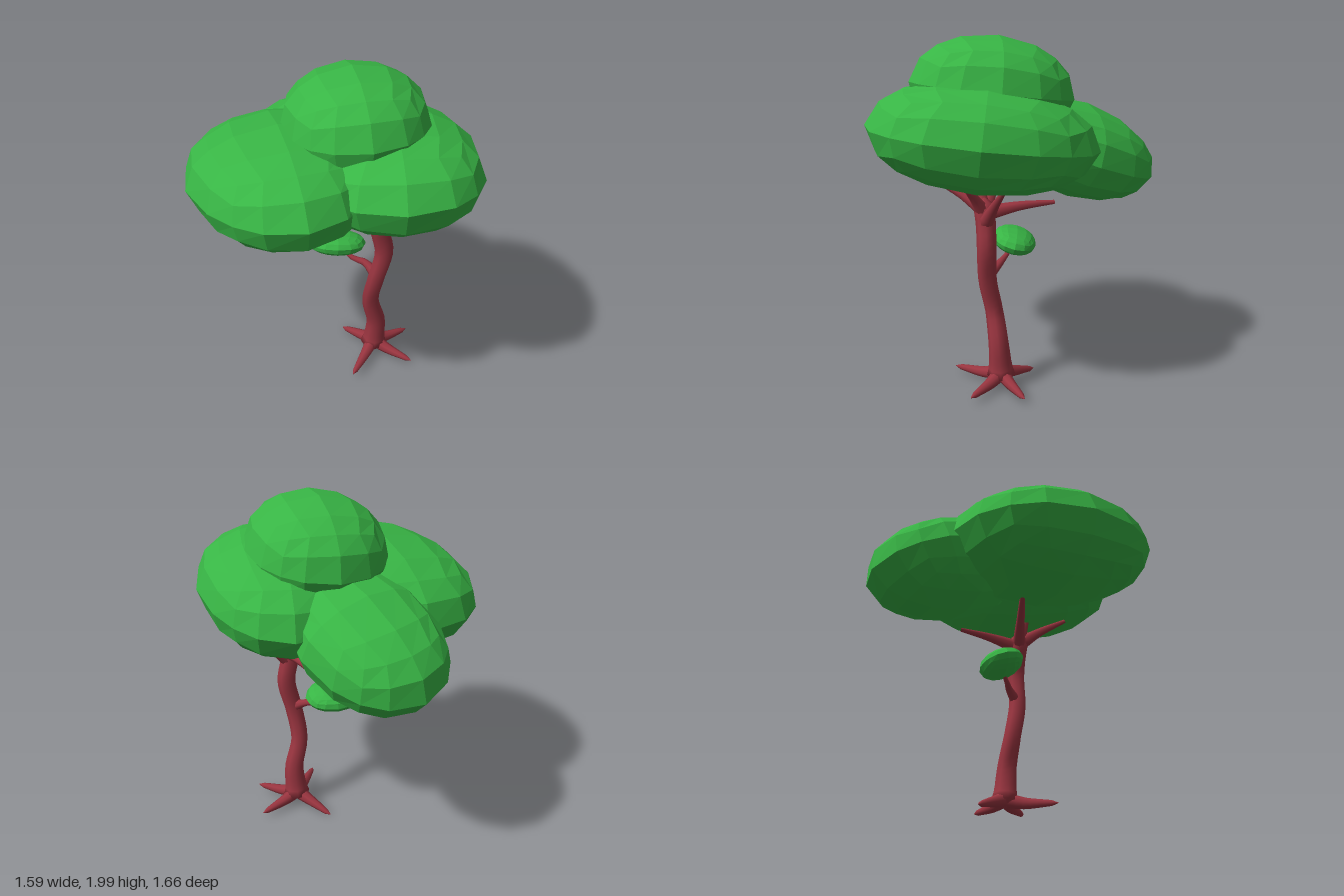
import * as THREE from 'three';
import { mergeVertices } from 'three/addons/utils/BufferGeometryUtils.js';

const leafMaterial = new THREE.MeshStandardMaterial({ color: 0x38b545, flatShading: true });
const barkMaterial = new THREE.MeshStandardMaterial({ color: 0x9a3540 });

// Faceted foliage: a subdivided cube pushed out to an egg; taper widens it towards +z
function foliage(name, centre, radii, rotation, taper = 0) {
  let geometry = new THREE.BoxGeometry(1, 1, 1, 4, 4, 4);
  geometry.deleteAttribute('uv');
  geometry.deleteAttribute('normal');
  geometry = mergeVertices(geometry);
  const pos = geometry.attributes.position;
  const v = new THREE.Vector3();
  for (let i = 0; i < pos.count; i++) {
    v.fromBufferAttribute(pos, i).normalize();
    pos.setXYZ(i, v.x * radii[0] * (1 + taper * v.z), v.y * radii[1], v.z * radii[2]);
  }
  geometry.computeVertexNormals();
  const mesh = new THREE.Mesh(geometry, leafMaterial);
  mesh.name = name;
  mesh.position.set(...centre);
  mesh.rotation.set(...rotation);
  return mesh;
}

// Limb along points [x, y, z, radius]; both ends are drawn shut
function limb(name, points, steps, sides = 8) {
  const curve = new THREE.CatmullRomCurve3(points.map((p) => new THREE.Vector3(p[0], p[1], p[2])));
  const geometry = new THREE.TubeGeometry(curve, steps, 1, sides);
  const pos = geometry.attributes.position;
  const v = new THREE.Vector3();
  const last = points.length - 1;
  for (let ring = 0; ring <= steps; ring++) {
    const u = ring / steps;
    const centre = curve.getPointAt(u);
    const t = curve.getUtoTmapping(u) * last;
    const k = Math.min(Math.floor(t), last - 1);
    const radius = THREE.MathUtils.lerp(points[k][3], points[k + 1][3], t - k);
    for (let s = 0; s <= sides; s++) {
      const i = ring * (sides + 1) + s;
      v.fromBufferAttribute(pos, i).sub(centre).multiplyScalar(radius).add(centre);
      pos.setXYZ(i, v.x, v.y, v.z);
    }
  }
  geometry.deleteAttribute('uv');
  geometry.deleteAttribute('normal');
  const welded = mergeVertices(geometry);
  welded.computeVertexNormals();
  const mesh = new THREE.Mesh(welded, barkMaterial);
  mesh.name = name;
  return mesh;
}

export function createModel() {
  const tree = new THREE.Group();
  tree.name = 'tree';

  // Winding trunk
  tree.add(limb('trunk', [
    [0.27, 0.03, 0.06, 0.001], [0.27, 0.05, 0.06, 0.09], [0.275, 0.13, 0.065, 0.067],
    [0.28, 0.27, 0.075, 0.058], [0.238, 0.46, 0.1, 0.051], [0.26, 0.65, 0.135, 0.052],
    [0.302, 0.86, 0.138, 0.055], [0.28, 0.98, 0.142, 0.055], [0.26, 1.08, 0.15, 0.06],
    [0.255, 1.13, 0.155, 0.03], [0.255, 1.14, 0.155, 0.001],
  ], 26));

  // Spreading roots
  const rootTips = [[0.505, 0.04, -0.07], [0.5, 0.045, 0.23], [0.12, 0.05, 0.335], [0.085, 0.012, -0.135]];
  for (const [x, y, z] of rootTips) {
    const mix = THREE.MathUtils.lerp;
    tree.add(limb('root', [
      [0.27, 0.085, 0.06, 0.045],
      [mix(0.27, x, 0.35), 0.058, mix(0.06, z, 0.35), 0.034],
      [mix(0.27, x, 0.75), mix(0.055, y, 0.6), mix(0.06, z, 0.75), 0.021],
      [mix(0.27, x, 0.97), y, mix(0.06, z, 0.97), 0.012],
      [x, y, z, 0.001],
    ], 8));
  }

  // Crown branches: start, bend and tip
  const branches = [
    [[0.27, 1.05, 0.15], [0.08, 1.12, 0.11], [-0.22, 1.21, 0.05]],
    [[0.27, 1.05, 0.13], [0.24, 1.08, -0.04], [0.19, 1.09, -0.24]],
    [[0.29, 1.0, 0.14], [0.38, 1.1, 0.1], [0.52, 1.23, 0.04]],
    [[0.26, 1.07, 0.16], [0.22, 1.14, 0.27], [0.18, 1.22, 0.43]],
    [[0.27, 1.05, 0.15], [0.32, 1.14, 0.2], [0.4, 1.24, 0.26]],
    [[0.26, 1.06, 0.15], [0.23, 1.15, 0.17], [0.2, 1.28, 0.2]],
  ];
  const branchRadii = [0.044, 0.027, 0.012];
  for (const path of branches) {
    tree.add(limb('branch', path.map((p, i) => [...p, branchRadii[i]]), 7));
  }

  // Low twig holding the small leaf cluster
  tree.add(limb('lowTwig', [
    [0.26, 0.68, 0.13, 0.035], [0.2, 0.73, 0.07, 0.022], [0.13, 0.743, 0.04, 0.016], [0.07, 0.78, 0, 0.01],
  ], 7));

  // Foliage
  tree.add(
    foliage('topFoliage', [0.115, 1.7, 0.1], [0.4, 0.3, 0.46], [-0.12, 0.12, 0.06]),
    foliage('leftFoliage', [0.315, 1.47, 0.15], [0.47, 0.295, 0.63], [-0.12, 0, 0.03], 0.14),
    foliage('rightFoliage', [-0.27, 1.44, 0.2], [0.515, 0.29, 0.645], [-0.1, 0.2, 0.06], -0.14),
    foliage('backFoliage', [-0.055, 1.355, -0.345], [0.38, 0.275, 0.55], [-0.36, 0.4, 0], -0.08),
    foliage('smallFoliage', [0.035, 0.82, -0.02], [0.175, 0.07, 0.13], [-0.25, 0, -0.04]),
  );
  return tree;
}
